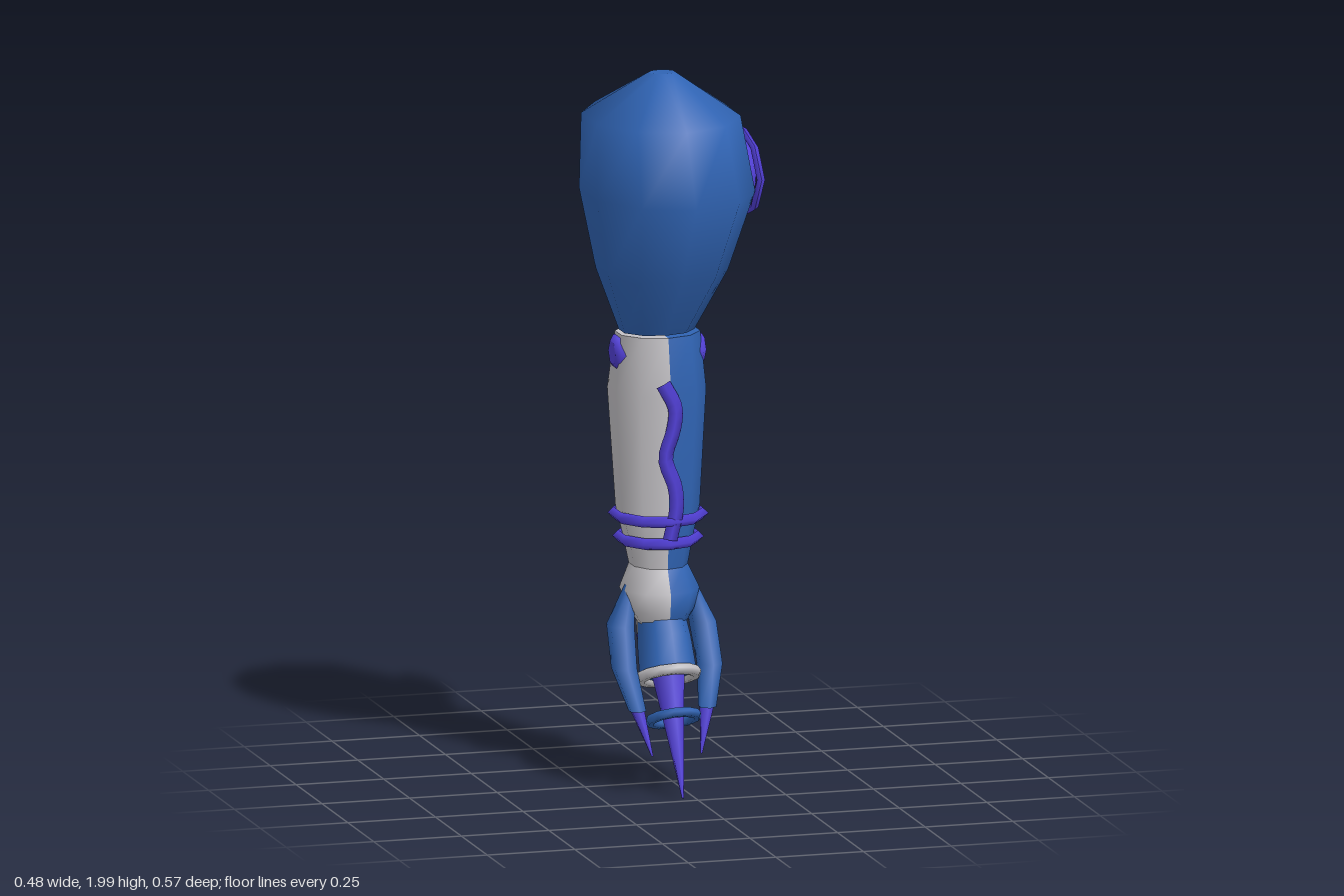
import * as THREE from 'three';
import { mergeGeometries } from 'three/addons/utils/BufferGeometryUtils.js';

const mat = (name, color) => Object.assign(new THREE.MeshStandardMaterial({ color }), { name });
const CX = -0.035; // centre line of the arm

// Stack of oval rings, bottom to top: [y, centreX, centreZ, radiusX, radiusZ], capped at both ends
function loft(rings, sides) {
  const pos = [], idx = [];
  const addRing = ([y, cx, cz, rx, rz]) => {
    const start = pos.length / 3;
    for (let j = 0; j < sides; j++) {
      const t = (j / sides) * Math.PI * 2;
      pos.push(cx + rx * Math.sin(t), y, cz + rz * Math.cos(t));
    }
    return start;
  };
  rings.forEach(addRing);
  for (let i = 0; i < rings.length - 1; i++) {
    for (let j = 0; j < sides; j++) {
      const k = (j + 1) % sides;
      const a = i * sides + j, b = i * sides + k, c = b + sides, d = a + sides;
      idx.push(a, b, c, a, c, d);
    }
  }
  [rings[0], rings[rings.length - 1]].forEach((r, top) => {
    const s = addRing(r), centre = pos.length / 3;
    pos.push(r[1], r[0], r[2]);
    for (let j = 0; j < sides; j++) {
      const k = (j + 1) % sides;
      if (top) idx.push(centre, s + j, s + k);
      else idx.push(centre, s + k, s + j);
    }
  });
  const g = new THREE.BufferGeometry();
  g.setAttribute('position', new THREE.Float32BufferAttribute(pos, 3));
  g.setIndex(idx);
  g.computeVertexNormals();
  return g;
}

// Cut a geometry at a plane across one axis; returns [below, above] with normals kept
function cut(geometry, axis, value) {
  const g = geometry.index ? geometry.toNonIndexed() : geometry;
  const p = g.attributes.position, n = g.attributes.normal;
  const half = (sign) => {
    const pos = [], nor = [];
    for (let i = 0; i < p.count; i += 3) {
      const tri = [0, 1, 2].map((k) => ({
        p: new THREE.Vector3().fromBufferAttribute(p, i + k),
        n: new THREE.Vector3().fromBufferAttribute(n, i + k),
      }));
      const poly = [];
      tri.forEach((a, k) => {
        const b = tri[(k + 1) % 3];
        const da = (a.p[axis] - value) * sign, db = (b.p[axis] - value) * sign;
        if (da >= 0) poly.push(a);
        if (da * db < 0) {
          const t = da / (da - db);
          poly.push({ p: a.p.clone().lerp(b.p, t), n: a.n.clone().lerp(b.n, t).normalize() });
        }
      });
      for (let k = 1; k < poly.length - 1; k++) {
        for (const v of [poly[0], poly[k], poly[k + 1]]) {
          pos.push(...v.p.toArray());
          nor.push(...v.n.toArray());
        }
      }
    }
    const out = new THREE.BufferGeometry();
    out.setAttribute('position', new THREE.Float32BufferAttribute(pos, 3));
    out.setAttribute('normal', new THREE.Float32BufferAttribute(nor, 3));
    return out;
  };
  return [half(-1), half(1)];
}

export function createModel() {
  const blue = mat('blue', 0x3064b4);
  const violet = mat('violet', 0x5240d8);
  const grey = mat('light grey', 0xc4c2c6);
  const model = new THREE.Group();
  model.name = 'armouredArm';
  const add = (name, geometry, material, parent = model) => {
    const m = new THREE.Mesh(geometry, material);
    m.name = name;
    parent.add(m);
    return m;
  };

  // Shoulder, with a grey patch low on the back
  const shoulder = loft([
    [1.28, -0.045, 0, 0.105, 0.09],
    [1.45, -0.03, 0, 0.18, 0.2],
    [1.67, -0.015, 0, 0.237, 0.285],
    [1.88, -0.03, -0.01, 0.215, 0.255],
    [2.0, -0.03, 0, 0.037, 0.03],
  ], 10);
  const [low, high] = cut(shoulder, 'y', 1.44);
  const [lowBack, lowFront] = cut(low, 'z', -0.088);
  add('shoulder', mergeGeometries([high, lowFront]), blue);
  add('shoulderBackPatch', lowBack, grey);

  // Round shoulder badge: domed disc inside a bowed octagonal rim
  const badge = new THREE.Group();
  badge.name = 'shoulderBadge';
  badge.position.set(0.2, 1.7, -0.027);
  badge.rotation.y = Math.PI / 2;
  model.add(badge);
  const rim = new THREE.TorusGeometry(0.115, 0.012, 5, 8);
  const rp = rim.attributes.position;
  for (let i = 0; i < rp.count; i++) rp.setZ(i, rp.getZ(i) + 0.026 - 1.2 * rp.getY(i) ** 2);
  rim.computeVertexNormals();
  add('badgeRim', rim, violet, badge);
  const dome = loft([[-0.02, 0, 0, 0.1, 0.1], [0.015, 0, 0, 0.095, 0.095],
    [0.028, 0, 0, 0.065, 0.065], [0.035, 0, 0, 0.01, 0.01]], 10);
  add('badgeDome', dome.rotateX(Math.PI / 2), violet, badge);

  // Forearm and palm, grey on the right half and blue on the left half
  const halves = (name, rings) => {
    const [right, left] = cut(loft(rings, 10), 'x', CX);
    add(name + 'RightHalf', right, grey);
    add(name + 'LeftHalf', left, blue);
  };
  halves('forearm', [
    [0.62, CX, -0.018, 0.08, 0.092],
    [0.7, CX, -0.022, 0.096, 0.105],
    [0.78, CX, -0.025, 0.116, 0.11],
    [1.11, CX, -0.033, 0.135, 0.142],
    [1.27, CX, -0.025, 0.118, 0.106],
  ]);
  halves('palm', [
    [0.46, CX, 0.015, 0.065, 0.07],
    [0.5, CX, 0.01, 0.09, 0.092],
    [0.555, CX, -0.007, 0.11, 0.112],
    [0.62, CX, -0.018, 0.08, 0.092],
  ]);

  // Elbow bolts
  for (const s of [-1, 1]) {
    const bolt = loft([[-0.04, 0, 0, 0.053, 0.053], [0.008, 0, 0, 0.053, 0.053], [0.02, 0, 0, 0.035, 0.035]], 6);
    bolt.rotateZ(-s * Math.PI / 2);
    add('elbowBolt', bolt, violet).position.set(CX + s * 0.11, 1.215, -0.027);
  }

  // Wavy strip floating along the front of the forearm
  const wave = new THREE.CatmullRomCurve3([
    [-0.06, 1.15], [-0.025, 1.08], [-0.03, 1.02], [-0.052, 0.94], [-0.025, 0.86], [-0.02, 0.8], [-0.038, 0.71],
  ].map(([x, y]) => new THREE.Vector3(x, y, 0)));
  const strip = add('wavyStrip', new THREE.TubeGeometry(wave, 20, 0.021, 4), violet);
  strip.scale.z = 0.25;
  strip.position.z = 0.113;
  strip.rotation.x = 0.02;
  strip.position.z -= 0.02;

  // Wrist rings
  for (const [y, r] of [[0.76, 0.122], [0.695, 0.109]]) {
    const ring = new THREE.TorusGeometry(r, 0.016, 4, 10).rotateZ(Math.PI / 10).rotateX(Math.PI / 2);
    const m = add('wristRing', ring, violet);
    m.position.set(CX, y, -0.02);
    m.scale.z = 1.04;
  }

  // Outer fingers with claws, mirrored about the arm's centre line
  for (const s of [-1, 1]) {
    const at = (y, d, z, rx, rz) => [y, CX + s * d, z, rx, rz];
    add('outerFinger', loft([
      at(0.24, 0.1, 0.118, 0.025, 0.028),
      at(0.35, 0.122, 0.065, 0.036, 0.04),
      at(0.46, 0.117, 0.012, 0.038, 0.048),
      at(0.57, 0.085, 0, 0.015, 0.016),
    ], 6), blue);
    add('outerClaw', loft([
      at(0.12, 0.07, 0.162, 0.003, 0.003),
      at(0.27, 0.106, 0.104, 0.024, 0.026),
    ], 6), violet);
  }

  // Middle finger: flared sleeve, grey band, long claw and a ring, all on one tilted axis
  const middle = new THREE.Group();
  middle.name = 'middleFinger';
  middle.position.set(CX, 0.325, 0.08);
  middle.rotation.x = -0.42;
  model.add(middle);
  add('middleSleeve', loft([[0, 0, 0, 0.078, 0.088], [0.1, 0, 0, 0.073, 0.085], [0.2, 0, 0, 0.06, 0.07]], 10), blue, middle);
  const band = add('middleBand', new THREE.TorusGeometry(0.076, 0.016, 6, 12).rotateX(Math.PI / 2), grey, middle);
  band.scale.z = 1.12;
  add('middleClaw', loft([[-0.345, 0, 0, 0.003, 0.003], [-0.12, 0, 0, 0.03, 0.03], [0.01, 0, 0, 0.048, 0.042]], 6), violet, middle);
  const ring = add('middleRing', new THREE.TorusGeometry(0.064, 0.014, 6, 10).rotateX(Math.PI / 2), blue, middle);
  ring.position.y = -0.12;
  ring.scale.z = 1.25;

  // Thumb at the back
  add('thumb', loft([
    [0.38, CX, -0.15, 0.021, 0.021],
    [0.45, CX, -0.142, 0.028, 0.026],
    [0.51, CX, -0.11, 0.034, 0.034],
    [0.55, CX, -0.07, 0.03, 0.03],
  ], 6), grey);
  add('thumbClaw', loft([[0.315, CX, -0.15, 0.006, 0.006], [0.39, CX, -0.152, 0.023, 0.023]], 6), violet);

  return model;
}
